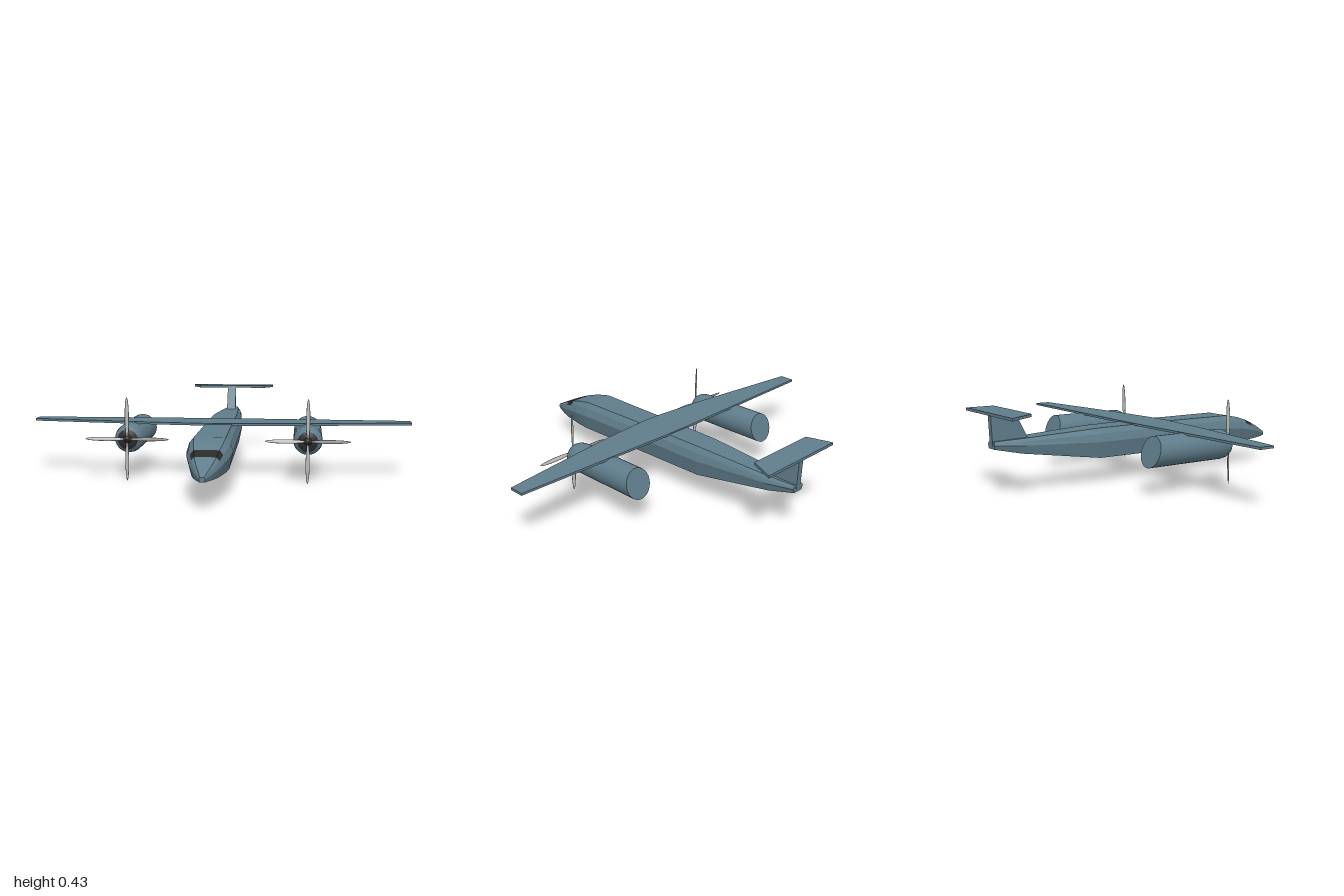
import * as THREE from 'three';
import { toCreasedNormals } from 'three/addons/utils/BufferGeometryUtils.js';

const paint = new THREE.MeshStandardMaterial({ name: 'blueGreyPaint', color: 0x607d8b });
const dark = new THREE.MeshStandardMaterial({ name: 'darkTrim', color: 0x2b2929 });
const metal = new THREE.MeshStandardMaterial({ name: 'bladeMetal', color: 0xbdbdbd });

function add(parent, name, geometry, material) {
  const mesh = new THREE.Mesh(geometry, material);
  mesh.name = name;
  parent.add(mesh);
  return mesh;
}

// Flat plate: outline of [x, z] points (right half, mirrored), between two heights
function plate(half, y0, y1) {
  const pts = [...half, ...half.map(([x, z]) => [-x, z]).reverse()];
  const shape = new THREE.Shape(pts.map(([x, z]) => new THREE.Vector2(x, -z)));
  const geo = new THREE.ExtrudeGeometry(shape, { depth: y1 - y0, bevelEnabled: false });
  return geo.rotateX(-Math.PI / 2).translate(0, y0, 0);
}

// Fuselage stations, tail to nose: z, bottom, top, half width
const stations = [
  [-0.87, 0.226, 0.262, 0.035],
  [-0.73, 0.196, 0.268, 0.06],
  [-0.30, 0.134, 0.286, 0.094],
  [0.10, 0.134, 0.288, 0.102],
  [0.54, 0.134, 0.286, 0.111],
  [0.62, 0.134, 0.27, 0.103],
  [0.69, 0.134, 0.249, 0.087],
  [0.745, 0.134, 0.226, 0.074],
  [0.80, 0.135, 0.201, 0.054],
  [0.88, 0.137, 0.16, 0.014],
];
const WINDSHIELD_ROW = 6;

function ring([z, b, t, w]) {
  const h = t - b;
  const half = [[0.82 * w, b], [w, b + 0.55 * h], [0.88 * w, b + 0.82 * h], [0.68 * w, t]];
  return [...half, ...half.map(([x, y]) => [-x, y]).reverse()].map(([x, y]) => [x, y, z]);
}

function buildFuselage(group) {
  const rings = stations.map(ring);
  const body = [], glass = [];
  const n = 8;
  for (let i = 0; i < rings.length - 1; i++) {
    for (let j = 0; j < n; j++) {
      const k = (j + 1) % n;
      const [a, b, c, d] = [rings[i][j], rings[i][k], rings[i + 1][k], rings[i + 1][j]];
      const target = i === WINDSHIELD_ROW && j >= 2 && j <= 4 ? glass : body;
      target.push(...a, ...b, ...c, ...a, ...c, ...d);
    }
  }
  // End caps
  const tail = rings[0], nose = rings[rings.length - 1];
  for (let j = 1; j < n - 1; j++) {
    body.push(...nose[0], ...nose[j], ...nose[j + 1]);
    body.push(...tail[0], ...tail[j + 1], ...tail[j]);
  }
  for (const [name, data, mat] of [['fuselage', body, paint], ['windshield', glass, dark]]) {
    const geo = new THREE.BufferGeometry();
    geo.setAttribute('position', new THREE.Float32BufferAttribute(data, 3));
    geo.computeVertexNormals();
    add(group, name, geo, mat);
  }
}

// Solid of revolution along z from [radius, z] points
function lathe(points, segments = 28) {
  const geo = new THREE.LatheGeometry(points.map(([r, z]) => new THREE.Vector2(r, z)), segments);
  return geo.rotateX(Math.PI / 2);
}

function buildEngine(x) {
  const engine = new THREE.Group();
  engine.name = x > 0 ? 'leftEngine' : 'rightEngine';
  engine.position.set(x, 0.215, 0);

  // Nacelle with a slanted rear cut
  const shell = lathe([[0, -0.267], [0.075, -0.267], [0.075, 0.145], [0.071, 0.172], [0.06, 0.193], [0.052, 0.2]]);
  const p = shell.attributes.position;
  for (let i = 0; i < p.count; i++) {
    if (p.getZ(i) < -0.2) p.setZ(i, p.getZ(i) + 0.3 * p.getY(i));
  }
  add(engine, 'nacelle', toCreasedNormals(shell, 0.7), paint);
  add(engine, 'intake', toCreasedNormals(lathe([[0.052, 0.2], [0.04, 0.207], [0, 0.207]]), 0.7), dark);

  // Four-bladed propeller
  const prop = new THREE.Group();
  prop.name = 'propeller';
  prop.position.set(0, 0.004, 0.217);
  prop.rotation.set(-0.02, 0.02, 0);
  add(prop, 'spinner', lathe([[0.022, -0.014], [0.018, 0], [0.009, 0.01], [0, 0.014]], 16), dark);
  for (let i = 0; i < 4; i++) {
    const blade = new THREE.SphereGeometry(1, 12, 12).scale(0.011, 0.103, 0.003);
    blade.rotateY(0.35).translate(0, 0.113, 0).rotateZ((i * Math.PI) / 2);
    add(prop, 'blade', blade, metal);
  }
  engine.add(prop);
  return engine;
}

function buildTail(group) {
  // Fin, thinner toward its trailing edge
  const outline = [[-0.685, 0.262], [-0.755, 0.4], [-0.878, 0.394], [-0.87, 0.228], [-0.73, 0.25]];
  const shape = new THREE.Shape(outline.map(([z, y]) => new THREE.Vector2(z, y)));
  const fin = new THREE.ExtrudeGeometry(shape, { depth: 0.05, bevelEnabled: false });
  fin.translate(0, 0, -0.025).rotateY(-Math.PI / 2);
  const p = fin.attributes.position;
  for (let i = 0; i < p.count; i++) {
    if (p.getZ(i) < -0.8) p.setX(i, p.getX(i) * 0.6);
  }
  fin.computeVertexNormals();
  add(group, 'tailFin', fin, paint);

  // Tailplane, sloping slightly down to the rear
  const plane = plate([[0.195, -0.757], [0.245, -0.882]], 0.393, 0.407);
  const q = plane.attributes.position;
  for (let i = 0; i < q.count; i++) {
    if (q.getZ(i) < -0.8) q.setY(i, q.getY(i) - 0.006);
  }
  plane.computeVertexNormals();
  add(group, 'tailplane', plane, paint);
}

export function createModel() {
  const plane = new THREE.Group();
  plane.name = 'airplane';
  buildFuselage(plane);
  const wing = [[0.05, 0.125], [0.35, 0.1], [1, 0.013], [1, -0.067], [0.05, -0.088]];
  add(plane, 'wing', plate(wing, 0.281, 0.293), paint);
  for (const side of [-1, 1]) plane.add(buildEngine(side * 0.462));
  buildTail(plane);
  return plane;
}
